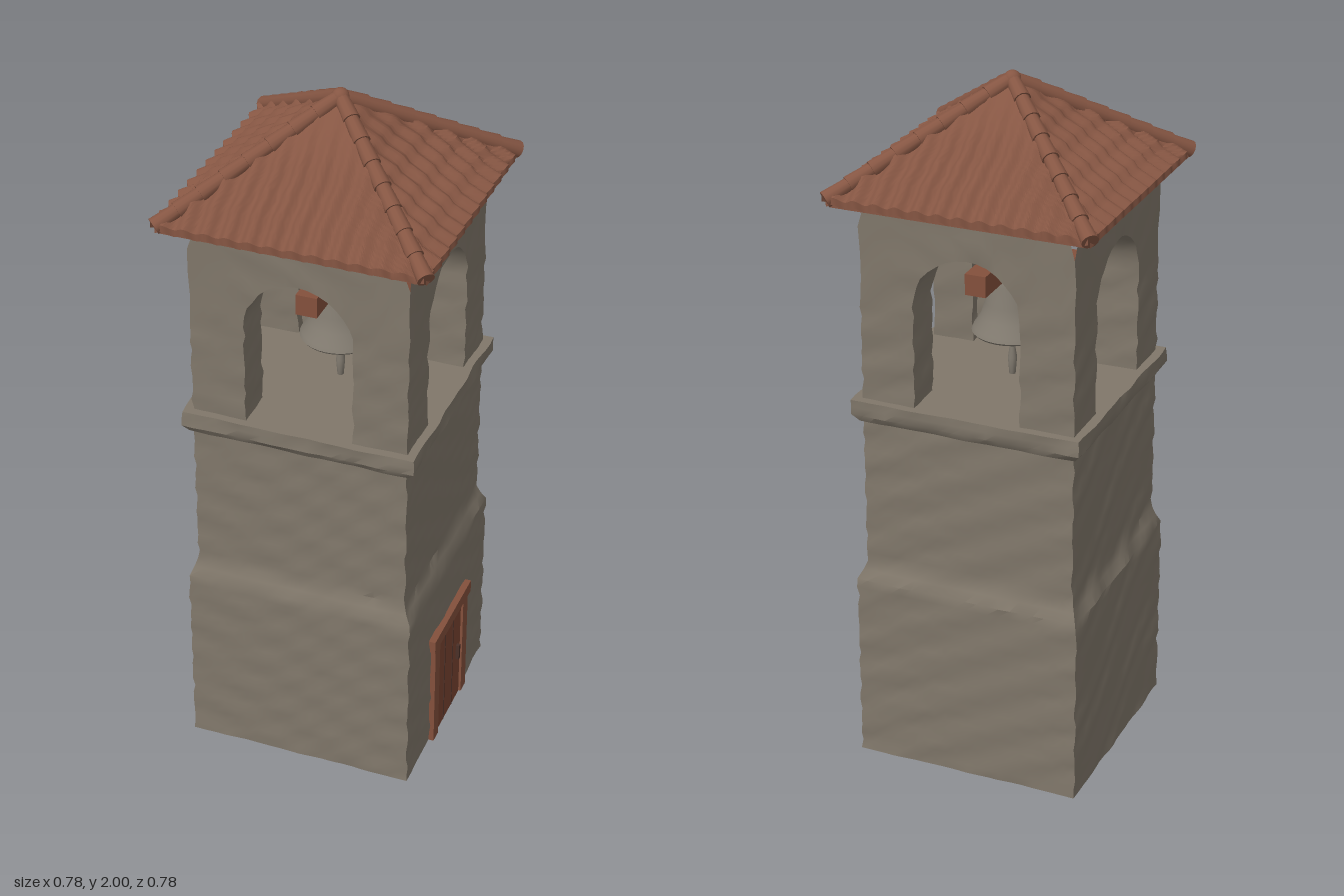
import * as THREE from 'three';
import { mergeGeometries, toCreasedNormals } from 'three/addons/utils/BufferGeometryUtils.js';
import { ParametricGeometry } from 'three/addons/geometries/ParametricGeometry.js';

const mat = (name, color, side = THREE.FrontSide) => {
  const m = new THREE.MeshStandardMaterial({ color, side });
  m.name = name;
  return m;
};

export function createModel() {
  const stone = mat('stone', 0x80776a);
  const tile = mat('roof tile', 0x865643, THREE.DoubleSide);
  const doorWood = mat('door wood', 0x7a4532);
  const frameWood = mat('timber', 0x84503c);
  const metal = mat('bell metal', 0x827b70);
  const iron = mat('dark iron', 0x4a3028);

  const model = new THREE.Group();
  model.name = 'bellTower';

  const add = (name, geometry, material, parent = model) => {
    const mesh = new THREE.Mesh(geometry, material);
    mesh.name = name;
    parent.add(mesh);
    return mesh;
  };
  const box = (name, size, pos, material, parent) => {
    const mesh = add(name, new THREE.BoxGeometry(...size), material, parent);
    mesh.position.set(...pos);
    return mesh;
  };

  // Moves every vertex by a rule on its own position, so seams stay closed
  const warp = (geo, rule, crease = 0.6) => {
    const p = geo.attributes.position;
    const v = new THREE.Vector3();
    for (let i = 0; i < p.count; i++) {
      rule(v.fromBufferAttribute(p, i));
      p.setXYZ(i, v.x, v.y, v.z);
    }
    return toCreasedNormals(geo, crease);
  };
  // Uneven masonry: horizontal courses with wandering bumps
  const rough = (amp) => (v) => {
    const { x, y, z } = v;
    const a = Math.sin(85 * y + 4 * Math.sin(9 * x + 7 * z)) * Math.sin(31 * x + 27 * z + 19 * y);
    const b = Math.sin(47 * y + 23 * x - 29 * z + 2) * 0.6;
    v.x += amp * (a + b) * Math.sign(x);
    v.z += amp * (a * 0.7 - b) * Math.sign(z);
  };

  // Tower shaft with a thicker lower storey
  const bumps = rough(0.003);
  const shaft = new THREE.BoxGeometry(0.62, 1.07, 0.62, 20, 40, 20).translate(0, 0.535, 0);
  add('towerShaft', warp(shaft, (v) => {
    const k = 1 + 0.07 * (1 - THREE.MathUtils.smoothstep(v.y, 0.56, 0.61));
    v.x *= k;
    v.z *= k;
    bumps(v);
  }), stone);

  // Cornice ledge, which is also the belfry floor
  const ledge = new THREE.BoxGeometry(0.67, 0.065, 0.67, 20, 3, 20).translate(0, 1.0875, 0);
  add('cornice', warp(ledge, (v) => {
    if (v.y < 1.07) {
      v.x *= 0.955;
      v.z *= 0.955;
    }
    bumps(v);
  }), stone);

  // Belfry: one arched wall with mitred ends, turned to four sides
  const OPEN = 0.155, SPRING = 1.415, FLOOR = 1.1, TOP = 1.7, OUT = 0.31, IN = 0.19;
  const rimPoint = (u, half, rect) => {
    if (u <= 0.3 || u >= 0.7) {
      const y = THREE.MathUtils.lerp(FLOOR, SPRING, Math.min(u, 1 - u) / 0.3);
      return [u < 0.5 ? half : -half, y];
    }
    const a = Math.PI * (u - 0.3) / 0.4, c = Math.cos(a), s = Math.sin(a);
    const r = rect ? Math.min(half / Math.max(Math.abs(c), 1e-6), (TOP - SPRING) / Math.max(s, 1e-6)) : half;
    return [r * c, SPRING + r * s];
  };
  const archWall = (u, v, target) => {
    const inner = rimPoint(u, OPEN, false);
    const outer = rimPoint(u, v < 0.5 ? OUT : IN, true);
    const f = v <= 0.4 ? v / 0.4 : v <= 0.7 ? 1 : (1 - v) / 0.3;
    const z = v <= 0.4 ? OUT : v >= 0.7 ? IN : THREE.MathUtils.lerp(OUT, IN, (v - 0.4) / 0.3);
    target.set(THREE.MathUtils.lerp(outer[0], inner[0], f), THREE.MathUtils.lerp(outer[1], inner[1], f), z);
  };
  const walls = [0, 1, 2, 3].map((i) => new ParametricGeometry(archWall, 40, 10).rotateY(i * Math.PI / 2));
  add('belfryWalls', warp(mergeGeometries(walls), bumps), stone);

  // Roof: four slopes with rolled tile columns and stepped rows
  const ROWS = 6, FINE = 30, EAVE = 0.372;
  const slope = (u, v, target) => {
    const k = Math.round(v * (FINE + 1));
    const t = k === 0 ? 1 : 1 - (k - 1) / FINE;
    const x = (u * 2 - 1) * EAVE * t;
    const wave = Math.sin(x * 2 * Math.PI / 0.06 + 0.5 * Math.sin(9 * t)) * Math.min(1, t * 2);
    const row = t > 0 ? t * ROWS - 1e-4 : 0;
    const lift = 0.01 * (row - Math.floor(row)) + 0.007 * wave;
    target.set(x, 1.706 + (1 - t) * 0.27 + lift - (k === 0 ? 0.02 : 0), EAVE * t + 0.006 * wave * t + 0.006 * t);
  };
  const slopes = [0, 1, 2, 3].map((i) => new ParametricGeometry(slope, 104, FINE + 1).rotateY(i * Math.PI / 2));
  add('roofSlopes', warp(mergeGeometries(slopes), () => {}, 0.7), tile);
  box('roofSoffit', [0.73, 0.015, 0.73], [0, 1.694, 0], tile);

  // Hip ridges made of overlapping round tiles
  const hips = new THREE.Group();
  hips.name = 'hipRidges';
  model.add(hips);
  const apex = new THREE.Vector3(0, 1.977, 0);
  for (let i = 0; i < 4; i++) {
    const a = Math.PI / 4 + i * Math.PI / 2;
    const foot = new THREE.Vector3(Math.cos(a) * 0.523, 1.712, Math.sin(a) * 0.523);
    const dir = apex.clone().sub(foot);
    for (let j = 0; j < 8; j++) {
      const piece = add('ridgeTile', new THREE.CylinderGeometry(0.019, 0.024, dir.length() / 8 + 0.012, 12), tile, hips);
      piece.position.copy(foot).addScaledVector(dir, (j + 0.5) / 8);
      piece.quaternion.setFromUnitVectors(new THREE.Vector3(0, 1, 0), dir.clone().normalize());
    }
  }
  add('roofCap', new THREE.SphereGeometry(0.025, 16, 10), tile).position.y = 1.975;

  // Crossed timber beams and the straps that hold the bell
  box('beamAcross', [0.5, 0.06, 0.06], [0, 1.477, 0], frameWood);
  box('beamAlong', [0.06, 0.06, 0.5], [0, 1.479, 0], frameWood);
  for (const s of [-1, 1]) {
    box('bellStrapAcross', [0.018, 0.09, 0.07], [s * 0.036, 1.475, 0], frameWood).rotation.z = -s * 0.35;
    box('bellStrapAlong', [0.07, 0.09, 0.018], [0, 1.475, s * 0.036], frameWood).rotation.x = s * 0.35;
  }

  // Bell with a hollow inside, clapper and pull
  const profile = [[0, 1.41], [0.045, 1.4], [0.058, 1.34], [0.075, 1.29], [0.1, 1.256], [0.108, 1.25], [0.113, 1.256],
    [0.108, 1.268], [0.088, 1.3], [0.076, 1.34], [0.068, 1.4], [0.062, 1.425], [0.05, 1.434], [0, 1.436]];
  const lathe = (pts, n) => new THREE.LatheGeometry(pts.map((p) => new THREE.Vector2(...p)), n);
  add('bell', toCreasedNormals(lathe(profile, 32), 0.7), metal);
  const pull = [[0, 1.12], [0.009, 1.121], [0.013, 1.17], [0.007, 1.208], [0.011, 1.215], [0.024, 1.233],
    [0.008, 1.252], [0.006, 1.41]];
  add('clapper', lathe(pull, 12), metal);

  // Door on the left wall, with frame and handle
  const door = new THREE.Group();
  door.name = 'door';
  model.add(door);
  box('doorPanel', [0.03, 0.345, 0.21], [0.324, 0.1725, 0], doorWood, door);
  for (const s of [-1, 1]) {
    box('doorPost', [0.05, 0.35, 0.04], [0.321, 0.175, s * 0.122 - 0.004], frameWood, door);
    box('plankGap', [0.004, 0.335, 0.004], [0.339, 0.17, s * 0.035], iron, door);
  }
  box('doorLintel', [0.055, 0.038, 0.315], [0.322, 0.36, -0.004], frameWood, door);
  box('doorHandle', [0.012, 0.05, 0.012], [0.343, 0.175, -0.075], iron, door);

  return model;
}
